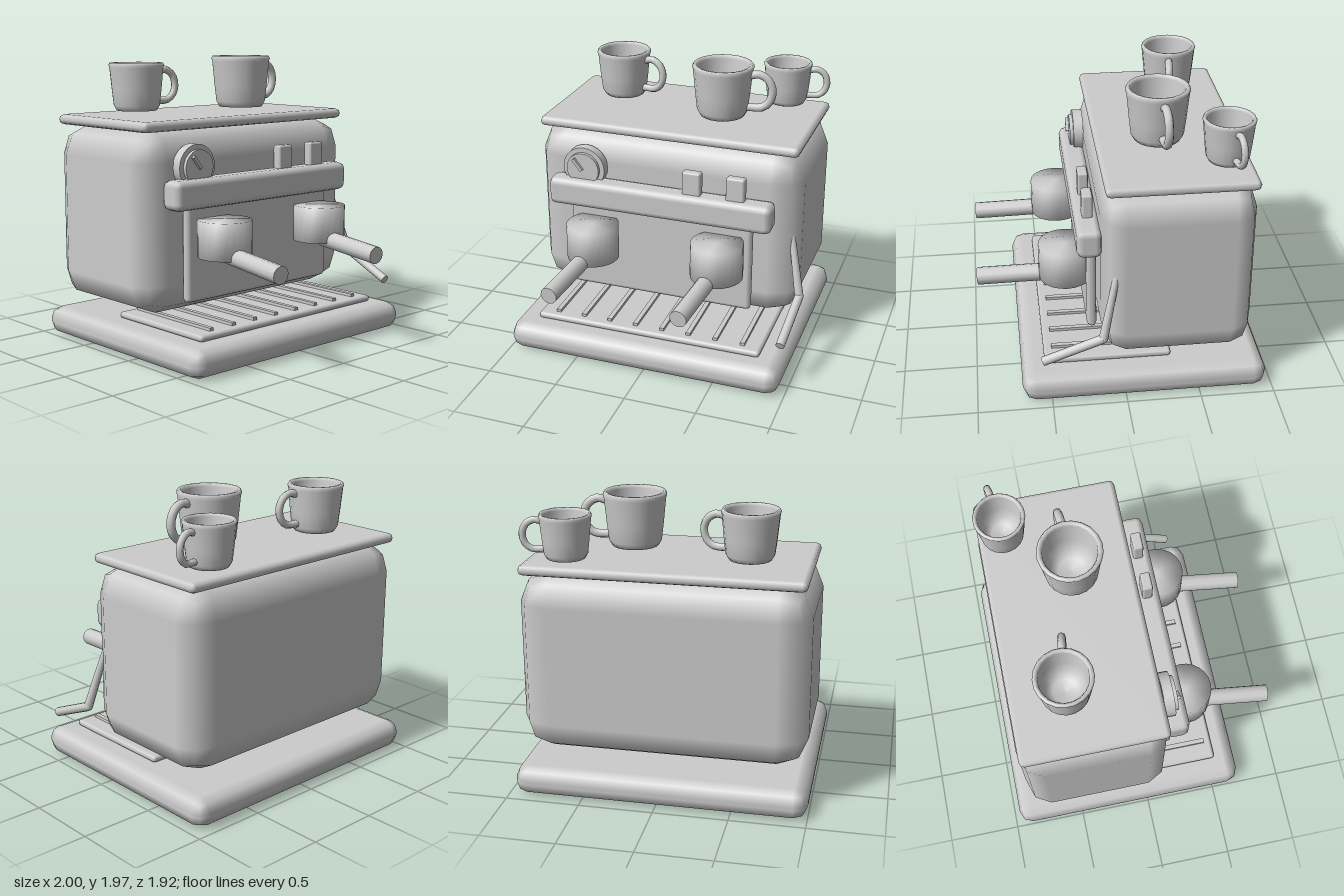
import * as THREE from 'three';
import { RoundedBoxGeometry } from 'three/addons/geometries/RoundedBoxGeometry.js';
import { mergeVertices } from 'three/addons/utils/BufferGeometryUtils.js';

export function createModel() {
  const model = new THREE.Group();
  model.name = 'espressoMachine';
  const metal = new THREE.MeshStandardMaterial({ color: 0xcccccc });
  metal.name = 'greyMetal';

  const add = (name, geometry, parent = model) => {
    const mesh = new THREE.Mesh(geometry, metal);
    mesh.name = name;
    parent.add(mesh);
    return mesh;
  };

  // Rounded box between two corners; zStretch squashes the rounding along z
  const slab = (name, [x0, y0, z0], [x1, y1, z1], radius, zStretch = 1) => {
    const g = new RoundedBoxGeometry(x1 - x0, y1 - y0, (z1 - z0) / zStretch, 1, radius);
    g.scale(1, 1, zStretch);
    const mesh = add(name, g);
    mesh.position.set((x0 + x1) / 2, (y0 + y1) / 2, (z0 + z1) / 2);
    return mesh;
  };

  // Cylinder running from point a to point b
  const rod = (name, a, b, ra, rb = ra, sides = 12) => {
    const from = new THREE.Vector3(...a), to = new THREE.Vector3(...b);
    const dir = to.clone().sub(from);
    const mesh = add(name, new THREE.CylinderGeometry(rb, ra, dir.length(), sides));
    mesh.position.copy(from).add(to).multiplyScalar(0.5);
    mesh.quaternion.setFromUnitVectors(new THREE.Vector3(0, 1, 0), dir.normalize());
    return mesh;
  };

  // Housing
  slab('base', [-1, 0, -0.96], [0.965, 0.2, 0.695], 0.09);
  slab('body', [-0.975, 0.285, -0.86], [0.935, 1.51, 0.155], 0.205, 0.76);
  slab('cupShelf', [-0.945, 1.505, -0.845], [0.91, 1.575, 0.135], 0.034);
  slab('backPanel', [-0.68, 0.37, 0.17], [0.64, 1.15, 0.235], 0.03);
  slab('frontBar', [-0.82, 1.0, 0.14], [0.78, 1.2, 0.307], 0.045);

  // Drip tray with slats
  slab('dripTray', [-0.83, 0.198, -0.32], [0.795, 0.245, 0.54], 0.022);
  for (let i = 0; i < 8; i++) {
    const slat = add('traySlat', new THREE.BoxGeometry(0.032, 0.03, 0.755));
    slat.position.set(-0.695 + i * 0.194, 0.25, 0.108);
  }

  // Switches
  for (const x of [0.21, 0.517]) {
    slab('switch', [x - 0.065, 1.12, 0.185], [x + 0.065, 1.36, 0.255], 0.015);
  }

  // Pressure dial with needle
  rod('dialCase', [-0.58, 1.27, 0.15], [-0.58, 1.27, 0.22], 0.152, 0.152, 24);
  rod('dialFace', [-0.58, 1.27, 0.21], [-0.58, 1.27, 0.245], 0.118, 0.118, 24);
  const needle = add('dialNeedle', new THREE.BoxGeometry(0.022, 0.1, 0.025));
  needle.position.set(-0.612, 1.306, 0.255);
  needle.rotation.z = 0.66;

  // Brewing heads with softly shaded edges, and their handles
  for (const x of [-0.467, 0.434]) {
    let g = new THREE.CylinderGeometry(0.181, 0.181, 0.25, 24);
    g.deleteAttribute('normal');
    g.deleteAttribute('uv');
    g = mergeVertices(g);
    g.computeVertexNormals();
    add('brewHead', g).position.set(x, 0.805, 0.362);
    rod('brewHandle', [x - 0.018, 0.703, 0.42], [x - 0.073, 0.662, 0.956], 0.06);
  }

  // Bent steam wand
  const top = [0.875, 0.93, 0.063], bend = [0.968, 0.51, 0.16], tip = [0.94, 0.34, 0.555];
  rod('wandUpper', top, bend, 0.022, 0.031);
  rod('wandLower', bend, tip, 0.031);
  add('wandJoint', new THREE.SphereGeometry(0.031, 12, 8)).position.set(...bend);
  add('wandTop', new THREE.SphereGeometry(0.022, 12, 8)).position.set(...top);

  // Cups: hollow lathe with rounded rim, plus a curved handle
  const profile = [
    [0, 0], [0.14, 0], [0.16, 0.035], [0.172, 0.14], [0.187, 0.295], [0.193, 0.313],
    [0.184, 0.328], [0.168, 0.326], [0.16, 0.308], [0.148, 0.16], [0.125, 0.07], [0.08, 0.04], [0, 0.03],
  ].map(([r, y]) => new THREE.Vector2(r, y));
  const handlePath = new THREE.CatmullRomCurve3([
    [0.17, 0.265], [0.225, 0.278], [0.285, 0.245], [0.312, 0.18],
    [0.298, 0.11], [0.25, 0.066], [0.155, 0.06],
  ].map(([x, y]) => new THREE.Vector3(x, y, 0)));
  const cups = [
    [-0.537, -0.47, 1, -0.13],
    [0.265, -0.275, 1.11, 0.07],
    [0.625, -0.675, 0.89, 0.16],
  ];
  for (const [x, z, size, turn] of cups) {
    const cup = new THREE.Group();
    cup.name = 'cup';
    add('cupBowl', new THREE.LatheGeometry(profile, 20), cup);
    add('cupHandle', new THREE.TubeGeometry(handlePath, 14, 0.026, 8), cup);
    cup.position.set(x, 1.602, z);
    cup.rotation.y = turn;
    cup.scale.setScalar(size);
    model.add(cup);
  }

  return model;
}
